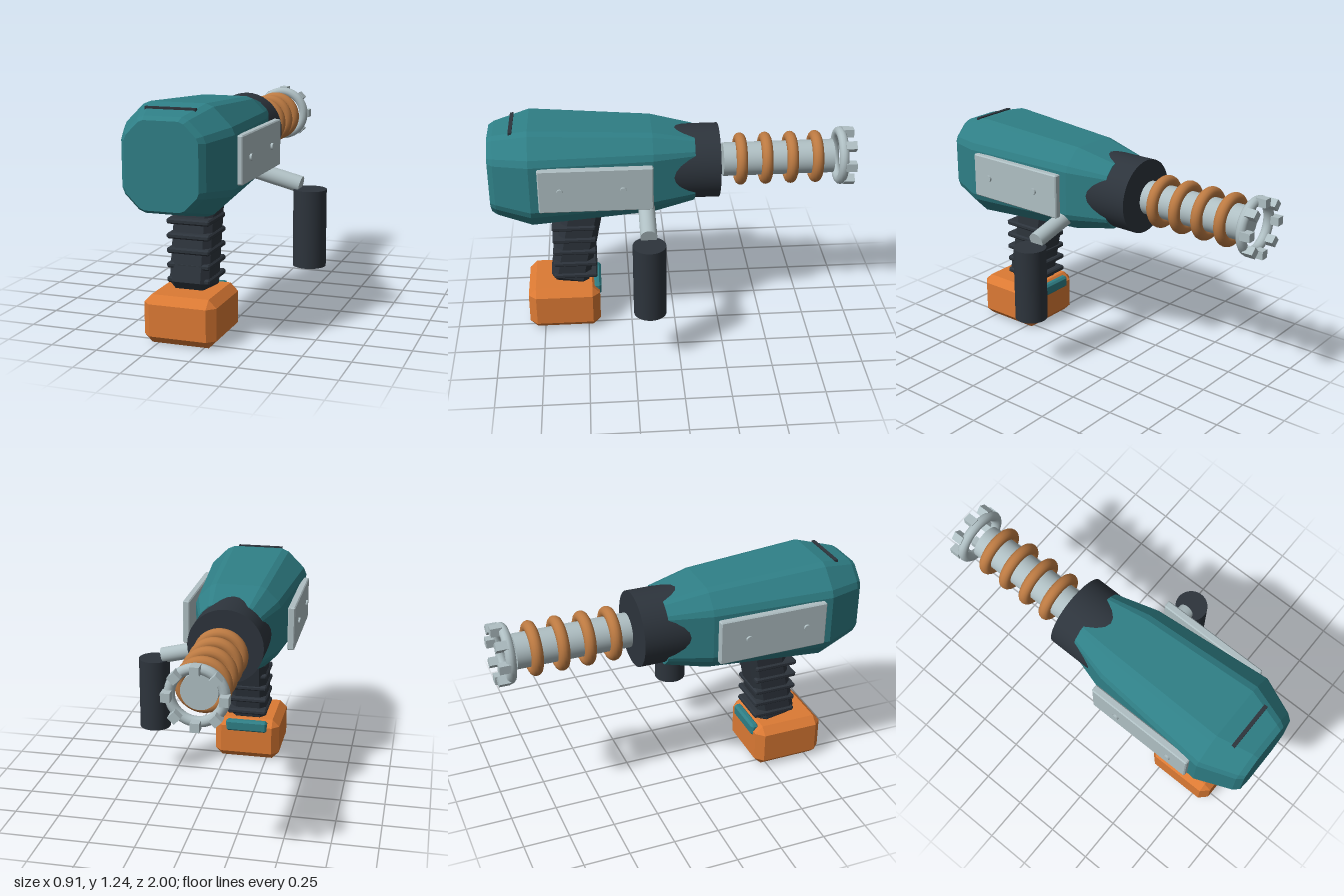
import * as THREE from 'three';
import { ConvexGeometry } from 'three/addons/geometries/ConvexGeometry.js';

const CX = -0.13, CY = 0.956; // axis of the housing and barrel

const mat = (name, color) => {
  const m = new THREE.MeshStandardMaterial({ color });
  m.name = name;
  return m;
};

// Box with every edge cut at 45 degrees
function chamferBox(w, h, d, c) {
  const pts = [];
  for (const x of [-w / 2, w / 2]) for (const y of [-h / 2, h / 2]) for (const z of [-d / 2, d / 2]) {
    const ix = x - Math.sign(x) * c, iy = y - Math.sign(y) * c, iz = z - Math.sign(z) * c;
    pts.push(new THREE.Vector3(x, iy, iz), new THREE.Vector3(ix, y, iz), new THREE.Vector3(ix, iy, z));
  }
  return new ConvexGeometry(pts);
}

// Octagon section with softened corners, counter-clockwise seen from the front
function section([z, w, h, c, b]) {
  const k = b * 0.7;
  const q = [[w, h - c - b], [w - k, h - c + k], [w - c + k, h - k], [w - c - b, h]];
  const r = [...q].reverse();
  return [
    ...q, ...r.map(([x, y]) => [-x, y]),
    ...q.map(([x, y]) => [-x, -y]), ...r.map(([x, y]) => [x, -y]),
  ].map(([x, y]) => [x, y, z]);
}

// Flat-shaded skin over a row of sections running from front to back
function loft(rows) {
  const rings = rows.map(section), n = rings[0].length, pos = [];
  const tri = (...p) => p.forEach((v) => pos.push(...v));
  const first = rings[0], last = rings[rings.length - 1];
  for (let i = 0; i < n; i++) {
    const j = (i + 1) % n;
    for (let k = 0; k < rings.length - 1; k++) {
      const a = rings[k], b = rings[k + 1];
      tri(a[i], b[i], a[j]);
      tri(a[j], b[i], b[j]);
    }
    tri([0, 0, first[0][2]], first[i], first[j]);
    tri([0, 0, last[0][2]], last[j], last[i]);
  }
  const g = new THREE.BufferGeometry();
  g.setAttribute('position', new THREE.Float32BufferAttribute(pos, 3));
  g.computeVertexNormals();
  return g;
}

export function createModel() {
  const teal = mat('teal', 0x2f7f86);
  const orange = mat('orange', 0xdc7a34);
  const copper = mat('copper', 0xbc7a42);
  const steel = mat('steel', 0xafbfc3);
  const dark = mat('charcoal', 0x2d343c);

  const model = new THREE.Group();
  const add = (name, geometry, material, x, y, z, parent = model) => {
    const m = new THREE.Mesh(geometry, material);
    m.name = name;
    m.position.set(x, y, z);
    parent.add(m);
    return m;
  };
  const rodZ = (r, z0, z1) => new THREE.CylinderGeometry(r, r, z0 - z1, 40)
    .rotateX(Math.PI / 2).translate(0, 0, (z0 + z1) / 2);

  // Housing: z, half width, half height, corner cut, softening
  add('housing', loft([
    [1.0, 0.19, 0.218, 0.085, 0.015],
    [0.97, 0.217, 0.236, 0.1, 0.02],
    [0.78, 0.293, 0.28, 0.125, 0.022],
    [0.12, 0.237, 0.237, 0.095, 0.02],
    [-0.11, 0.172, 0.186, 0.06, 0.012],
  ]), teal, CX, CY, 0);
  add('topSlot', new THREE.BoxGeometry(0.265, 0.04, 0.02), dark, CX, 1.203, 0.872);

  // Side plates with two bolts each
  for (const s of [-1, 1]) {
    const side = s < 0 ? 'right' : 'left';
    add(side + 'Plate', chamferBox(0.04, 0.247, 0.61, 0.006), steel, CX + s * 0.296, CY, 0.43);
    for (const z of [0.62, 0.285]) {
      add(side + 'Bolt', new THREE.CylinderGeometry(0.018, 0.018, 0.03, 12).rotateZ(Math.PI / 2),
        steel, CX + s * 0.312, CY, z);
    }
  }

  // Collar, barrel and coils
  add('collar', rodZ(0.205, 0.1, -0.248), dark, CX, 0.96, 0);
  add('barrel', rodZ(0.093, -0.275, -0.89), steel, CX, 0.96, 0);
  for (let i = 0; i < 4; i++) {
    add('coil', new THREE.TorusGeometry(0.114, 0.031, 14, 48), copper, CX, 0.96, -0.372 - i * 0.14);
  }

  // Muzzle crown: ring with eight teeth
  const crown = new THREE.Group();
  crown.name = 'muzzleCrown';
  crown.position.set(CX, 0.96, 0);
  model.add(crown);
  add('crownRing', new THREE.TorusGeometry(0.134, 0.027, 12, 48), steel, 0, 0, -0.932, crown);
  for (let i = 0; i < 8; i++) {
    const a = (i * Math.PI) / 4;
    add('crownTooth', new THREE.BoxGeometry(0.046, 0.046, 0.06), steel,
      Math.cos(a) * 0.14, Math.sin(a) * 0.14, -0.97, crown).rotation.z = a;
  }

  // Slanted grip with level ribs
  add('grip', chamferBox(0.216, 0.52, 0.218, 0.035), dark, CX, 0.5, 0.55).rotation.x = -0.2;
  for (let i = 0; i < 5; i++) {
    add('gripRib', chamferBox(0.234, 0.03, 0.245, 0.008), dark, CX, 0.305 + i * 0.077, 0.562);
  }

  // Battery and its latch
  add('battery', chamferBox(0.392, 0.254, 0.405, 0.042), orange, CX, 0.127, 0.633);
  add('batteryLatch', chamferBox(0.25, 0.07, 0.045, 0.012), teal, CX, 0.215, 0.443);

  // Side handle on the left
  const from = new THREE.Vector3(0, 0.815, 0.16), to = new THREE.Vector3(0.313, 0.737, 0.16);
  const dir = to.clone().sub(from), mid = from.clone().add(to).multiplyScalar(0.5);
  add('sideHandleRod', new THREE.CylinderGeometry(0.045, 0.045, dir.length(), 28), steel, mid.x, mid.y, mid.z)
    .quaternion.setFromUnitVectors(new THREE.Vector3(0, 1, 0), dir.normalize());
  add('sideHandleGrip', new THREE.CylinderGeometry(0.089, 0.089, 0.418, 36), dark, 0.363, 0.508, 0.16);

  return model;
}
